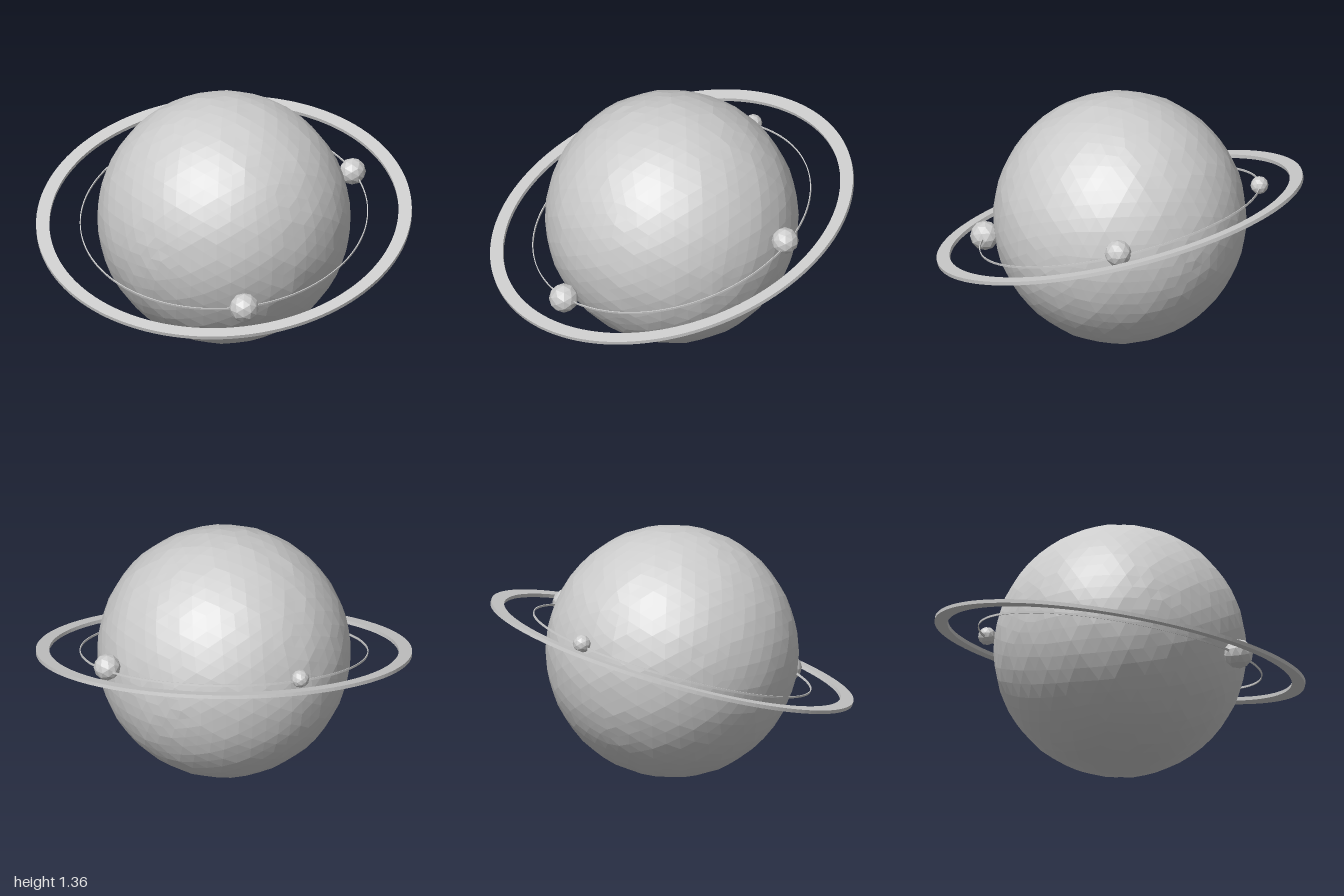
import * as THREE from 'three';

const material = new THREE.MeshStandardMaterial({ color: 0xcccccc, flatShading: true });
const CENTRE_Y = 0.685;

function addMesh(parent, name, geometry, x = 0, y = 0, z = 0) {
  const mesh = new THREE.Mesh(geometry, material);
  mesh.name = name;
  mesh.position.set(x, y, z);
  parent.add(mesh);
  return mesh;
}

// Faceted globe whose surface is very slightly uneven
function planetGeometry(radius, bump) {
  const geometry = new THREE.IcosahedronGeometry(radius, 9);
  const pos = geometry.attributes.position;
  const v = new THREE.Vector3();
  for (let i = 0; i < pos.count; i++) {
    v.fromBufferAttribute(pos, i);
    const noise = Math.sin(v.x * 31 + v.y * 17) * Math.sin(v.y * 29 - v.z * 13) * Math.cos(v.z * 37 + v.x * 11);
    v.setLength(radius + bump * noise);
    pos.setXYZ(i, v.x, v.y, v.z);
  }
  geometry.computeVertexNormals();
  return geometry;
}

// Ring with a rectangular section
function bandGeometry(inner, outer, height) {
  const h = height / 2;
  const profile = [[inner, -h], [outer, -h], [outer, h], [inner, h], [inner, -h]];
  return new THREE.LatheGeometry(profile.map(([r, y]) => new THREE.Vector2(r, y)), 128);
}

export function createModel() {
  const model = new THREE.Group();
  model.name = 'ringedPlanet';

  addMesh(model, 'planet', planetGeometry(0.683, 0.004), 0, CENTRE_Y, 0);

  // Ring and orbit share one tilted plane, high at the left and back
  const rings = new THREE.Group();
  rings.name = 'tiltedRings';
  rings.position.y = CENTRE_Y;
  const normal = new THREE.Vector3(-0.185, 1, 0.225).normalize();
  rings.quaternion.setFromUnitVectors(new THREE.Vector3(0, 1, 0), normal);
  addMesh(rings, 'outerRing', bandGeometry(0.943, 1.015, 0.02), 0, -0.004, 0);
  addMesh(rings, 'moonOrbit', bandGeometry(0.774, 0.779, 0.011));
  model.add(rings);

  // Three moons of different size along the orbit
  const moons = [
    ['frontMoon', 0.08, -0.26, 0.48, 0.71],
    ['leftMoon', 0.073, 0.75, 0.825, 0.07],
    ['backMoon', 0.049, 0.07, 0.88, -0.75],
  ];
  for (const [name, radius, x, y, z] of moons) {
    addMesh(model, name, new THREE.IcosahedronGeometry(radius, 1), x, y, z);
  }
  return model;
}
